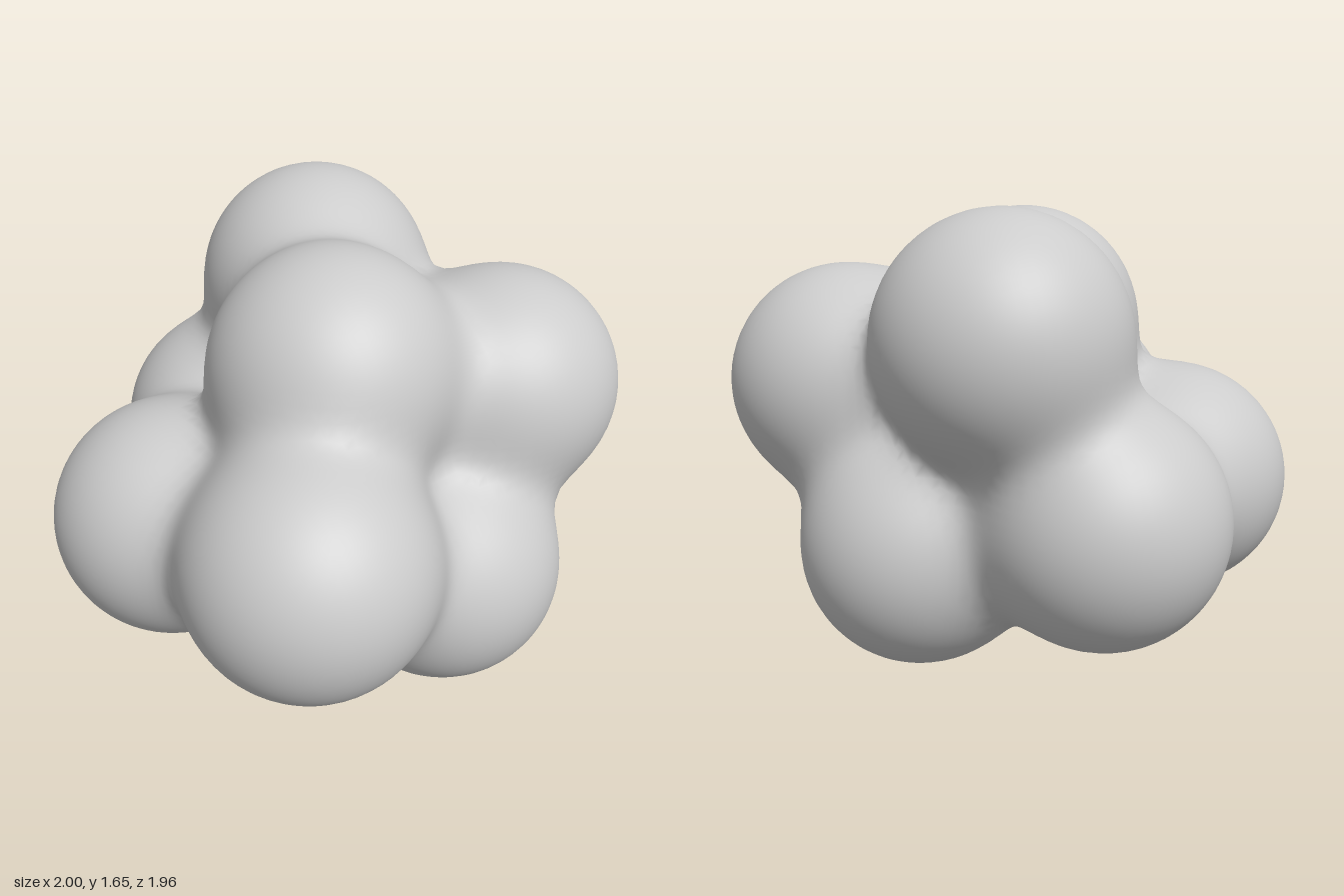
import * as THREE from 'three';

// Centres of the eight balls that melt into one another
const BALLS = [
  [-0.46, 0.74, 0.55],
  [-0.09, 1.19, 0.19],
  [0.27, 1.22, -0.38],
  [0.56, 0.99, 0.35],
  [0.17, 0.44, 0.51],
  [0.43, 0.445, -0.03],
  [-0.57, 0.6, -0.13],
  [-0.02, 0.61, -0.55],
].map((p) => new THREE.Vector3(...p));
const RADIUS = 0.433;
const SHARPNESS = 3; // higher gives tighter creases between balls

// Approximate signed distance to the blended skin (negative inside)
function skin(p) {
  let sum = 0;
  for (const c of BALLS) sum += Math.exp(-SHARPNESS * (p.distanceToSquared(c) / RADIUS ** 2 - 1));
  return RADIUS * (Math.sqrt(Math.max(0, 1 - Math.log(sum) / SHARPNESS)) - 1);
}

function gradient(p) {
  const e = 1e-4;
  const slope = ['x', 'y', 'z'].map((axis) => {
    const a = p.clone(), b = p.clone();
    a[axis] += e;
    b[axis] -= e;
    return (skin(a) - skin(b)) / (2 * e);
  });
  return new THREE.Vector3(...slope);
}

// Surface net: one vertex per crossed cell, one quad per crossed grid edge
function skinGeometry(step = 0.04) {
  const n = Math.ceil(2.2 / step);
  const strides = [1, n, n * n];
  const origin = new THREE.Vector3(-1.1, -0.2, -1.1);
  const point = (i) =>
    new THREE.Vector3(i % n, Math.floor(i / n) % n, Math.floor(i / (n * n))).multiplyScalar(step).add(origin);
  const values = new Float32Array(n ** 3);
  for (let i = 0; i < values.length; i++) values[i] = skin(point(i));

  const cells = new Map();
  const indices = [];
  const vertexOf = (cell, crossing) => {
    if (!cells.has(cell)) cells.set(cell, { id: cells.size, sum: new THREE.Vector3(), count: 0 });
    const v = cells.get(cell);
    v.sum.add(crossing);
    v.count++;
    return v.id;
  };
  for (let i = 0; i < values.length; i++) {
    for (let a = 0; a < 3; a++) {
      const j = i + strides[a];
      if (j >= values.length || values[i] < 0 === values[j] < 0) continue;
      const b = strides[(a + 1) % 3], c = strides[(a + 2) % 3];
      const crossing = point(i).lerp(point(j), values[i] / (values[i] - values[j]));
      const q = [i, i - b, i - b - c, i - c].map((cell) => vertexOf(cell, crossing));
      if (values[i] > 0) q.reverse();
      indices.push(q[0], q[1], q[2], q[0], q[2], q[3]);
    }
  }

  // Pull every vertex onto the skin and take its normal from the field
  const positions = [], normals = [];
  for (const { sum, count } of cells.values()) {
    const p = sum.divideScalar(count);
    for (let k = 0; k < 3; k++) {
      const g = gradient(p);
      p.addScaledVector(g, -skin(p) / Math.max(g.lengthSq(), 0.2));
    }
    positions.push(...p.toArray());
    normals.push(...gradient(p).normalize().toArray());
  }
  const geometry = new THREE.BufferGeometry();
  geometry.setAttribute('position', new THREE.Float32BufferAttribute(positions, 3));
  geometry.setAttribute('normal', new THREE.Float32BufferAttribute(normals, 3));
  geometry.setIndex(indices);
  return geometry;
}

export function createModel() {
  const group = new THREE.Group();
  group.name = 'ballCluster';
  const mesh = new THREE.Mesh(skinGeometry(), new THREE.MeshStandardMaterial({ color: 0xcccccc }));
  mesh.name = 'blendedBalls';
  group.add(mesh);
  return group;
}
